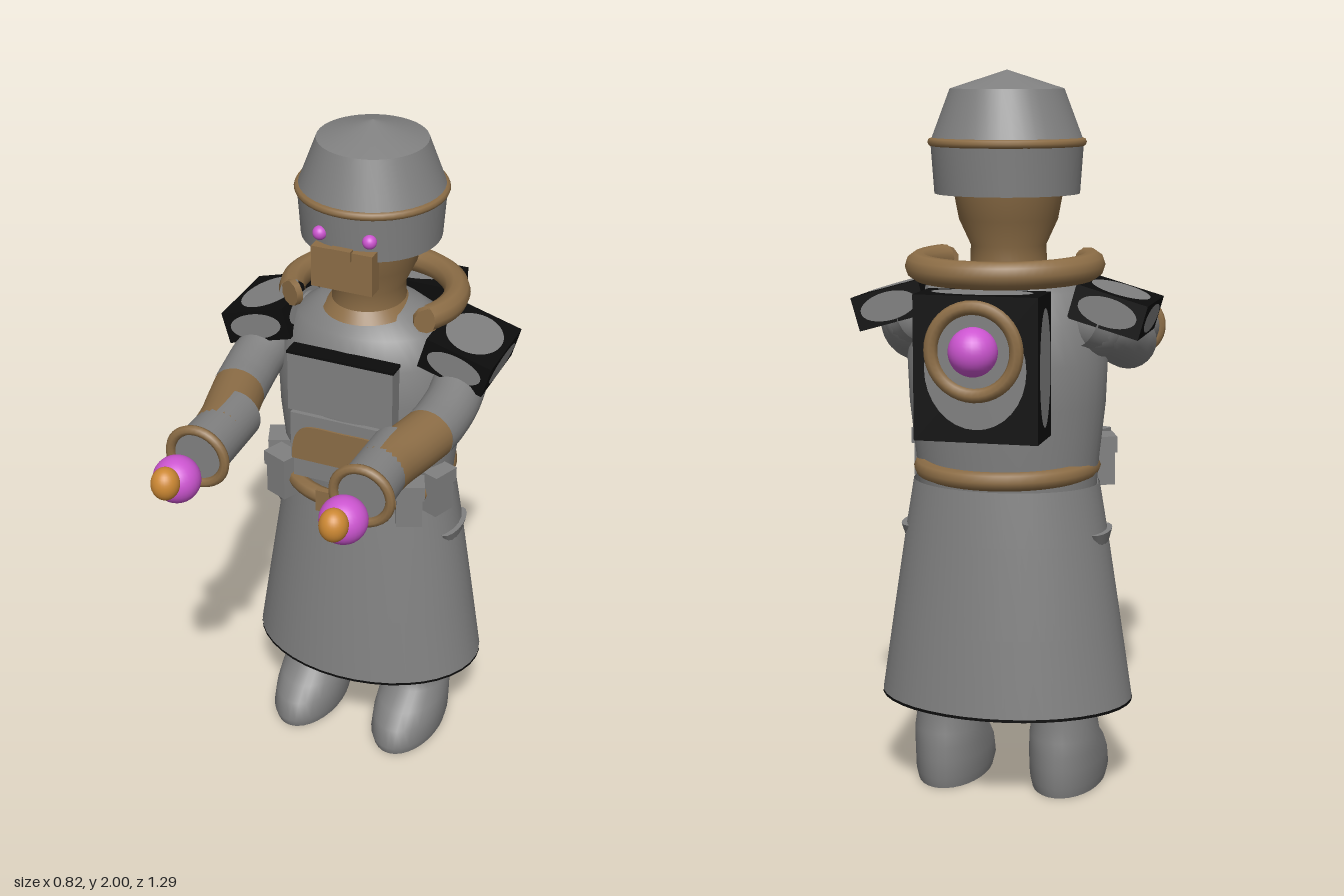
import * as THREE from 'three';
import { toCreasedNormals } from 'three/addons/utils/BufferGeometryUtils.js';

const mat = (name, color) => {
  const m = new THREE.MeshStandardMaterial({ color });
  m.name = name;
  return m;
};

export function createModel() {
  const grey = mat('grey cloth', 0x808080);
  const black = mat('black edging', 0x0c0c0c);
  const brown = mat('brown leather', 0x8c6d46);
  const magenta = mat('magenta glow', 0xcc55d0);
  const orange = mat('orange flame', 0xcc8833);
  const lining = mat('grey lining', 0x808080);
  lining.side = THREE.DoubleSide;

  const CZ = -0.22; // body axis
  const model = new THREE.Group();
  const add = (name, geo, material, pos = [0, 0, 0], rot = [0, 0, 0], scale = [1, 1, 1], parent = model) => {
    const m = new THREE.Mesh(geo, material);
    m.name = name;
    m.position.set(...pos);
    m.rotation.set(...rot);
    m.scale.set(...scale);
    parent.add(m);
    return m;
  };
  const box = (w, h, d) => new THREE.BoxGeometry(w, h, d);
  const ball = (r) => new THREE.SphereGeometry(r, 28, 18);
  const lathe = (pts, crease = 0.5) => toCreasedNormals(
    new THREE.LatheGeometry(pts.map(p => new THREE.Vector2(...p)), 40), crease);

  // Box with black edges and oval grey panels on every face
  const panelBox = (name, w, h, d, pos, rotZ = 0) => {
    const g = new THREE.Group();
    g.name = name;
    g.position.set(...pos);
    g.rotation.z = rotZ;
    model.add(g);
    add(name + 'Case', box(w, h, d), black, [0, 0, 0], [0, 0, 0], [1, 1, 1], g);
    const disc = new THREE.CircleGeometry(0.41, 32);
    const e = 0.002;
    for (const s of [-1, 1]) {
      add('ovalPanel', disc, grey, [0, 0, s * (d / 2 + e)], [0, s > 0 ? 0 : Math.PI, 0], [w, h, 1], g);
      add('ovalPanel', disc, grey, [s * (w / 2 + e), 0, 0], [0, s * Math.PI / 2, 0], [d, h, 1], g);
      add('ovalPanel', disc, grey, [0, s * (h / 2 + e), 0], [-s * Math.PI / 2, 0, 0], [w, d, 1], g);
    }
  };

  // Long skirt with hem
  add('skirt', lathe([[0.357, 0.265], [0.325, 0.48], [0.287, 0.73], [0.262, 0.88]]), lining, [0, 0, -0.23], [0, 0, 0], [1, 1, 0.735]);
  add('skirtHem', lathe([[0.338, 0.262], [0.358, 0.26], [0.358, 0.268]]), black, [0, 0, -0.23], [0, 0, 0], [1, 1, 0.735]);
  add('hemLining', lathe([[0.335, 0.3], [0.338, 0.262]]), brown, [0, 0, -0.23], [0, 0, 0], [1, 1, 0.735]);

  // Torso
  add('torso', lathe([[0.25, 0.85], [0.258, 0.95], [0.275, 1.1], [0.28, 1.22], [0.262, 1.33], [0.22, 1.41], [0.15, 1.46], [0.09, 1.48]], 1),
    grey, [0, 0, CZ], [0, 0, 0], [1, 1, 0.76]);

  // Belt and buckle
  add('belt', new THREE.TorusGeometry(0.25, 0.026, 8, 48), brown, [0, 0.92, -0.215], [Math.PI / 2, 0, 0], [0.94, 1, 1]);
  add('buckle', box(0.11, 0.07, 0.02), brown, [0, 0.92, 0.05]);
  add('beltPlate', box(0.3, 0.06, 0.03), grey, [0, 0.98, -0.015]);

  // Chest plate and front pocket
  add('chestPlate', box(0.32, 0.185, 0.05), grey, [0, 1.272, -0.012]);
  add('chestPlateTop', box(0.325, 0.008, 0.054), black, [0, 1.366, -0.012]);
  add('pocket', box(0.32, 0.15, 0.04), grey, [0, 1.085, -0.022]);
  const arch = new THREE.Shape();
  arch.moveTo(-0.155, -0.06);
  arch.lineTo(0.155, -0.06);
  arch.bezierCurveTo(0.155, 0.075, 0.1, 0.055, 0, 0.055);
  arch.bezierCurveTo(-0.1, 0.055, -0.155, 0.075, -0.155, -0.06);
  add('pocketFlap', new THREE.ExtrudeGeometry(arch, { depth: 0.008, bevelEnabled: false }), brown, [0, 1.07, -0.004]);

  // Neck, jaw and open collar roll
  add('head', lathe([[0.13, 1.45], [0.105, 1.48], [0.103, 1.53], [0.135, 1.6], [0.15, 1.68]], 0.6), brown, [0, 0, -0.2], [0, 0, 0], [1, 1, 1.08]);
  const gap = 1.05;
  const collar = new THREE.TorusGeometry(0.235, 0.038, 10, 48, Math.PI * 2 - 2 * gap);
  collar.rotateZ(Math.PI / 2 + gap);
  collar.rotateX(Math.PI / 2);
  add('collar', collar, brown, [0, 1.478, -0.24], [-0.03, 0, 0]);
  for (const s of [-1, 1]) {
    add('collarEnd', new THREE.CylinderGeometry(0.038, 0.038, 0.02, 10), brown,
      [s * 0.235 * Math.sin(gap), 1.478, -0.24 + 0.235 * Math.cos(gap)], [Math.PI / 2, 0, s * -(Math.PI / 2 - gap)]);
  }

  // Helmet, band, mask and eyes
  add('helmet', lathe([[0.14, 1.672], [0.198, 1.67], [0.208, 1.81], [0.155, 1.95], [0, 2]], 0.3), grey, [0, 0, -0.215]);
  add('helmetBand', new THREE.TorusGeometry(0.204, 0.012, 8, 48), brown, [0, 1.808, -0.215], [Math.PI / 2, 0, 0]);
  add('mask', box(0.18, 0.12, 0.05), brown, [0, 1.643, -0.025]);
  add('nose', box(0.06, 0.03, 0.022), brown, [0, 1.695, 0]);
  for (const s of [-1, 1]) add('eye', ball(0.02), magenta, [s * 0.073, 1.735, -0.022]);

  // Backpack with glowing core
  panelBox('backpack', 0.335, 0.385, 0.15, [0, 1.235, -0.485]);
  add('coreRing', new THREE.TorusGeometry(0.115, 0.019, 8, 40), brown, [0, 1.285, -0.578]);
  add('core', ball(0.065), magenta, [0, 1.285, -0.582]);

  // Boot and leg cross-sections: y, half width, front z, back z
  const legRings = [[0, 0.01, -0.16, -0.18], [0.001, 0.1, 0.02, -0.35], [0.03, 0.107, 0.03, -0.357], [0.08, 0.107, 0.005, -0.357],
    [0.12, 0.104, -0.04, -0.355], [0.16, 0.098, -0.105, -0.35], [0.2, 0.092, -0.118, -0.34], [0.3, 0.088, -0.115, -0.345], [0.5, 0.088, -0.115, -0.345]];
  const legGeo = new THREE.LatheGeometry(legRings.map(r => new THREE.Vector2(r[1], r[0])), 32);
  const p = legGeo.attributes.position;
  for (let i = 0; i < p.count; i++) {
    const [, rx, zf, zb] = legRings[i % legRings.length];
    p.setZ(i, (zf + zb) / 2 + (p.getZ(i) / rx) * (zf - zb) / 2);
  }
  const leg = toCreasedNormals(legGeo, 0.9);

  for (const s of [-1, 1]) {
    add('leg', leg, grey, [s * 0.168, 0, 0]);

    // Sleeve and elbow
    const path = (pts) => new THREE.CatmullRomCurve3(pts.map(([x, y, z]) => new THREE.Vector3(s * x, y, z)));
    add('sleeve', new THREE.TubeGeometry(path([[0.22, 1.34, -0.29], [0.28, 1.31, -0.22], [0.302, 1.265, -0.1], [0.298, 1.243, 0], [0.29, 1.236, 0.066]]), 20, 0.077, 24), grey);
    add('elbow', new THREE.TubeGeometry(path([[0.291, 1.236, 0.06], [0.272, 1.235, 0.14], [0.25, 1.235, 0.23], [0.24, 1.235, 0.3]]), 14, 0.076, 24), brown);
    add('shoulder', ball(0.1), grey, [s * 0.25, 1.33, -0.23]);

    // Gauntlet, cuff and floating flame
    add('gauntlet', new THREE.CylinderGeometry(0.078, 0.074, 0.24, 28), grey, [s * 0.24, 1.235, 0.3], [Math.PI / 2, 0, 0]);
    add('gauntletBack', new THREE.CircleGeometry(0.074, 28), brown, [s * 0.24, 1.235, 0.179], [0, Math.PI, 0]);
    add('cuff', new THREE.TorusGeometry(0.081, 0.014, 8, 36), brown, [s * 0.24, 1.235, 0.42]);
    add('orb', ball(0.065), magenta, [s * 0.24, 1.235, 0.54]);
    add('flame', ball(0.04), orange, [s * 0.24, 1.258, 0.603], [0, 0, 0], [0.97, 1.15, 1]);

    // Shoulder pad
    panelBox('shoulderPad', 0.2, 0.095, 0.255, [s * 0.303, 1.367, -0.21], s * -0.28);

    // Belt pouches with lids
    for (const [x, z, w, turn] of [[0.2, -0.03, 0.075, 0.4], [0.25, -0.125, 0.075, 1.2]]) {
      add('pouch', box(w, 0.12, 0.06), grey, [s * x, 0.92, z], [0, s * turn, 0]);
      add('pouchLid', box(w + 0.012, 0.045, 0.07), grey, [s * x, 0.975, z], [0, s * turn, 0]);
    }

    // Skirt pocket flap
    add('skirtFlap', new THREE.CylinderGeometry(0.085, 0.04, 0.07, 16), grey, [s * 0.265, 0.715, -0.23], [0, 0, 0], [0.38, 1, 1]);
  }
  return model;
}
